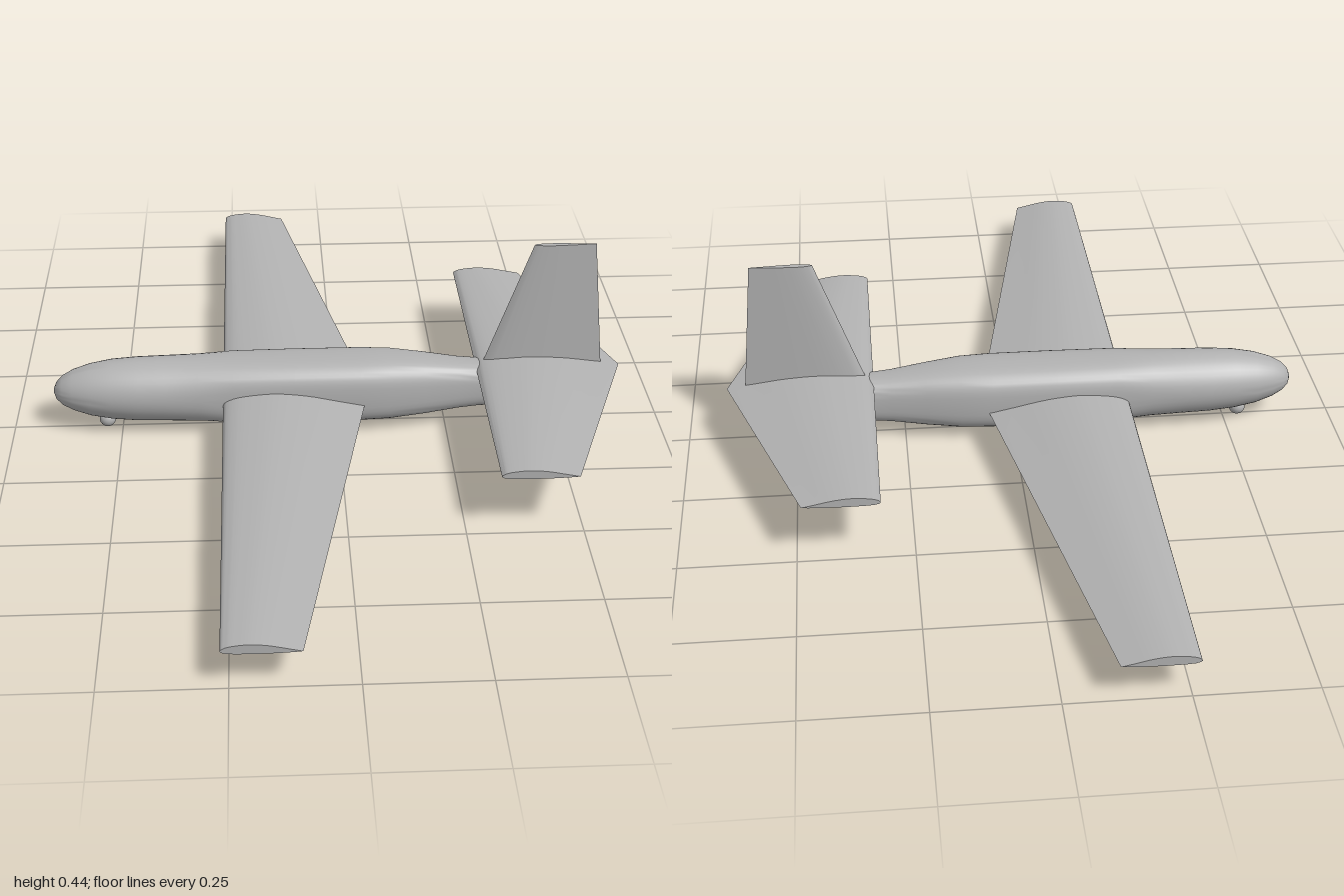
import * as THREE from 'three';
import { toCreasedNormals } from 'three/addons/utils/BufferGeometryUtils.js';

// Skin a series of equal-length rings and close both ends.
function loft(rings, crease) {
  const n = rings[0].length, pos = [], idx = [];
  rings.forEach(r => r.forEach(p => pos.push(...p)));
  for (let i = 0; i < rings.length - 1; i++) {
    for (let j = 0; j < n; j++) {
      const a = i * n + j, b = i * n + (j + 1) % n;
      idx.push(a, b, a + n, b, b + n, a + n);
    }
  }
  [0, rings.length - 1].forEach(i => {
    const c = pos.length / 3;
    for (let k = 0; k < 3; k++) pos.push(rings[i].reduce((s, p) => s + p[k], 0) / n);
    for (let j = 0; j < n; j++) {
      const a = i * n + j, b = i * n + (j + 1) % n;
      if (i === 0) idx.push(c, b, a); else idx.push(c, a, b);
    }
  });
  // Turn the faces outward if the enclosed volume is negative.
  const at = i => new THREE.Vector3().fromArray(pos, i * 3);
  let volume = 0;
  for (let i = 0; i < idx.length; i += 3) volume += at(idx[i]).dot(at(idx[i + 1]).cross(at(idx[i + 2])));
  if (volume < 0) idx.reverse();
  const g = new THREE.BufferGeometry();
  g.setAttribute('position', new THREE.Float32BufferAttribute(pos, 3));
  g.setIndex(idx);
  return toCreasedNormals(g, crease);
}

// Cambered section (chord 0..1, height 0..1), upper side then lower side.
const CAMBERED = new THREE.SplineCurve([
  [0, 0.33], [0.02, 0.55], [0.1, 0.8], [0.25, 0.96], [0.4, 1], [0.6, 0.83], [0.8, 0.5], [1, 0.16],
].map(p => new THREE.Vector2(...p))).getPoints(20).map(p => [p.x, p.y])
  .concat([[0.9, 0.1], [0.7, 0.03], [0.45, 0], [0.2, 0.02], [0.08, 0.08], [0.02, 0.2]]);

// Symmetric section for the fin, thickness -1..1.
const HALF = [[0, 0], [0.02, 0.35], [0.08, 0.7], [0.2, 0.97], [0.35, 1], [0.6, 0.7], [0.8, 0.37], [1, 0.05]];
const SYMMETRIC = HALF.concat(HALF.slice(1).reverse().map(([u, v]) => [u, -v]));

// Horizontal surface running tip to tip; each end is {x0, x1, y, h}.
function planform(root, tip, span) {
  const ring = (s, z) => CAMBERED.map(([u, v]) => [s.x0 + u * (s.x1 - s.x0), s.y + v * s.h, z]);
  return loft([ring(tip, -span), ring(root, 0), ring(tip, span)], 0.6);
}

export function createModel() {
  const group = new THREE.Group();
  group.name = 'aircraft';
  const grey = new THREE.MeshStandardMaterial({ color: 0xb2b2b2 });
  grey.name = 'airframe grey';

  const add = (name, geometry, x = 0, y = 0, z = 0) => {
    const m = new THREE.Mesh(geometry, grey);
    m.name = name;
    m.position.set(x, y, z);
    group.add(m);
    return m;
  };
  const ellipsoid = (rx, ry, rz) => new THREE.SphereGeometry(1, 32, 20).scale(rx, ry, rz);

  // Fuselage stations: x, bottom, top, half width, squareness
  const stations = [
    [-0.655, 0.094, 0.102, 0.004, 2], [-0.649, 0.079, 0.118, 0.02, 2], [-0.635, 0.065, 0.133, 0.034, 2],
    [-0.61, 0.052, 0.147, 0.047, 2], [-0.57, 0.039, 0.16, 0.06, 2], [-0.52, 0.03, 0.169, 0.069, 2],
    [-0.46, 0.025, 0.173, 0.074, 2], [-0.4, 0.024, 0.174, 0.075, 2.05], [-0.32, 0.024, 0.174, 0.075, 2.3],
    [-0.24, 0.024, 0.174, 0.077, 3], [-0.1, 0.024, 0.174, 0.078, 3.2], [0.05, 0.024, 0.174, 0.078, 3.2],
    [0.12, 0.025, 0.173, 0.074, 3.1], [0.2, 0.031, 0.165, 0.062, 3], [0.28, 0.041, 0.154, 0.05, 3],
    [0.33, 0.045, 0.15, 0.045, 3], [0.42, 0.045, 0.148, 0.043, 3], [0.51, 0.045, 0.146, 0.042, 3],
    [0.54, 0.052, 0.143, 0.038, 2.7], [0.56, 0.07, 0.135, 0.03, 2.4], [0.572, 0.085, 0.122, 0.018, 2],
  ];
  const power = (c, n) => Math.sign(c) * Math.abs(c) ** (2 / n);
  add('fuselage', loft(stations.map(([x, lo, hi, w, n]) =>
    Array.from({ length: 40 }, (_, i) => {
      const a = i / 40 * Math.PI * 2;
      return [x, (lo + hi) / 2 + (hi - lo) / 2 * power(Math.sin(a), n), w * power(Math.cos(a), n)];
    })), 0.9));

  // Straight leading edges, swept-forward trailing edges
  add('wing', planform({ x0: -0.265, x1: 0.073, y: 0.075, h: 0.044 }, { x0: -0.265, x1: -0.11, y: 0.08, h: 0.021 }, 1));
  add('tailplane', planform({ x0: 0.32, x1: 0.655, y: 0.129, h: 0.036 }, { x0: 0.32, x1: 0.485, y: 0.135, h: 0.02 }, 0.5));

  // Tail fin
  const finRing = (x0, x1, y0, y1, t) => SYMMETRIC.map(([u, v]) => [x0 + u * (x1 - x0), y0 + u * (y1 - y0), v * t]);
  add('tailFin', loft([finRing(0.33, 0.614, 0.13, 0.125, 0.014), finRing(0.445, 0.585, 0.443, 0.443, 0.007)], 0.6));

  // Tail cone ball, under-nose ball and underwing pods
  add('tailBall', ellipsoid(0.032, 0.031, 0.031), 0.583, 0.1);
  add('noseBall', ellipsoid(0.019, 0.019, 0.019), -0.535, 0.022);
  for (const side of [1, -1]) {
    add(side > 0 ? 'frontSidePod' : 'backSidePod', ellipsoid(0.127, 0.038, 0.037), -0.13, 0.042, side * 0.205);
  }

  // Rest the pods on the ground
  group.position.y = -0.003;
  group.children.forEach(m => { m.position.y -= 0.001; });
  return group;
}
